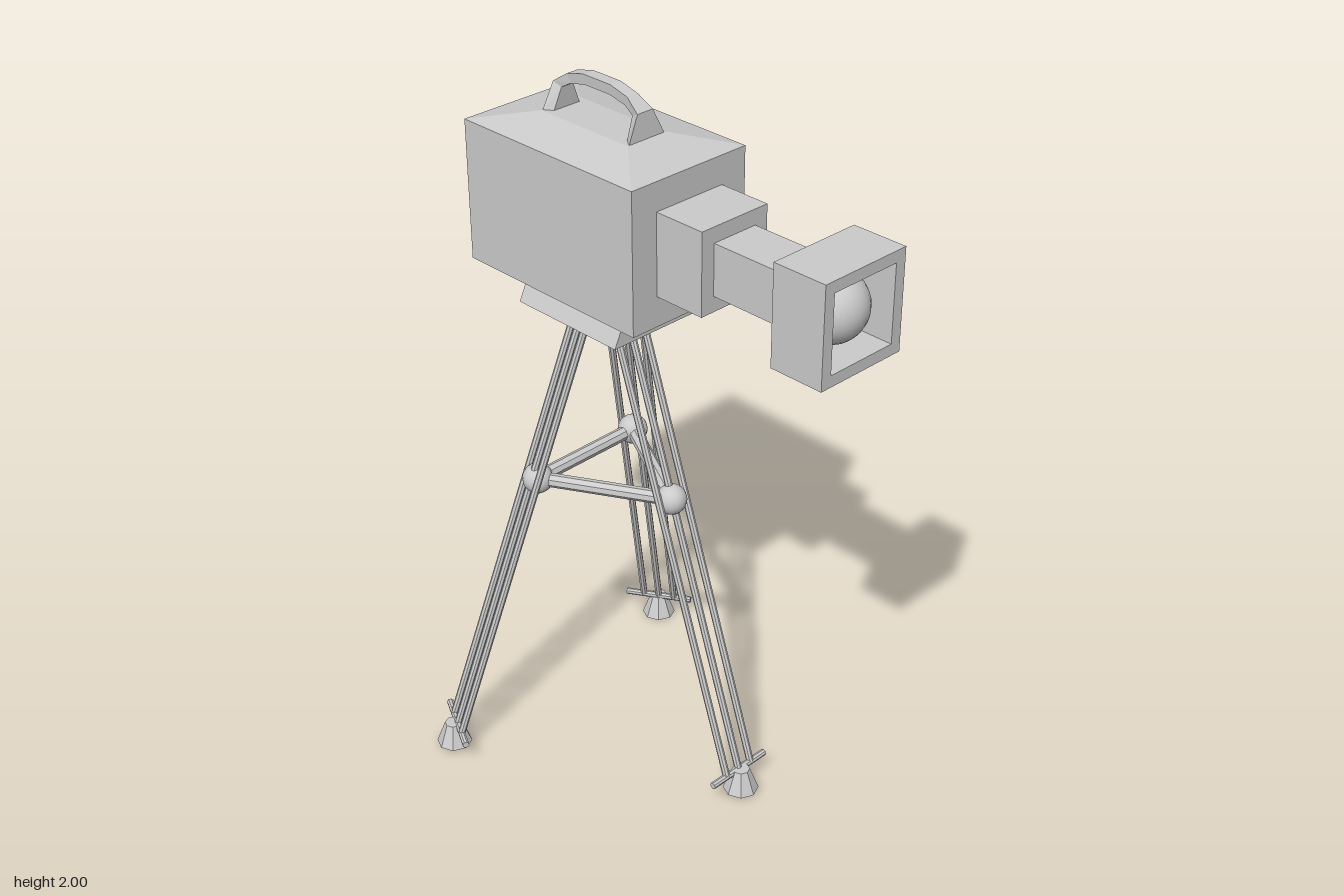
import * as THREE from 'three';

const flat = new THREE.MeshStandardMaterial({ color: 0xcccccc, flatShading: true });
const smooth = new THREE.MeshStandardMaterial({ color: 0xcccccc });
const V = (x, y, z) => new THREE.Vector3(x, y, z);
const CX = 0.005; // centre line of the camera

function add(parent, name, geometry, x = 0, y = 0, z = 0, material = flat) {
  const mesh = new THREE.Mesh(geometry, material);
  mesh.name = name;
  mesh.position.set(x, y, z);
  parent.add(mesh);
  return mesh;
}

// Box whose top rectangle differs in size from its bottom one
function taperedBox(w, h, d, topW, topD) {
  const g = new THREE.BoxGeometry(w, h, d);
  const p = g.attributes.position;
  for (let i = 0; i < p.count; i++) {
    if (p.getY(i) > 0) {
      p.setX(i, Math.sign(p.getX(i)) * topW / 2);
      p.setZ(i, Math.sign(p.getZ(i)) * topD / 2);
    }
  }
  g.computeVertexNormals();
  return g;
}

// Straight round bar between two points
function bar(parent, name, a, b, radius, sides = 8) {
  const dir = b.clone().sub(a);
  const mesh = add(parent, name, new THREE.CylinderGeometry(radius, radius, dir.length(), sides));
  mesh.position.copy(a).lerp(b, 0.5);
  mesh.quaternion.setFromUnitVectors(V(0, 1, 0), dir.normalize());
}

function square(ShapeType, w, h) {
  return new ShapeType([[-1, -1], [1, -1], [1, 1], [-1, 1]]
    .map(([x, y]) => new THREE.Vector2(x * w / 2, y * h / 2)));
}

// Arched handle lofted through four-cornered sections
function handleGeometry() {
  // [outer offset, outer y, outer half width, inner offset, inner y, inner half width]
  const half = [
    [0.16, 1.88, 0.062, 0.135, 1.88, 0.045],
    [0.155, 1.955, 0.026, 0.13, 1.943, 0.02],
    [0.11, 1.985, 0.018, 0.1, 1.96, 0.016],
    [0.05, 2.0, 0.018, 0.045, 1.972, 0.016],
  ];
  const mirrored = half.map(([u, y, w, iu, iy, iw]) => [-u, y, w, -iu, iy, iw]).reverse();
  const sections = [...half, ...mirrored];
  const points = [], index = [];
  for (const [u, y, w, iu, iy, iw] of sections) {
    points.push(-w, y, u, w, y, u, iw, iy, iu, -iw, iy, iu);
  }
  for (let s = 0; s < sections.length - 1; s++) {
    for (let k = 0; k < 4; k++) {
      const a = s * 4 + k, b = s * 4 + (k + 1) % 4;
      index.push(a, b, b + 4, a, b + 4, a + 4);
    }
  }
  const g = new THREE.BufferGeometry();
  g.setAttribute('position', new THREE.Float32BufferAttribute(points, 3));
  g.setIndex(index);
  const out = g.toNonIndexed();
  out.computeVertexNormals();
  return out;
}

function createCamera() {
  const camera = new THREE.Group();
  camera.name = 'camera';
  const box = (name, w, h, z0, z1, y) =>
    add(camera, name, new THREE.BoxGeometry(w, h, z1 - z0), CX, y, (z0 + z1) / 2);

  // Body, hipped roof and handle
  box('body', 0.39, 0.395, -0.58, 0.04, 1.6575);
  add(camera, 'roof', taperedBox(0.39, 0.03, 0.62, 0.13, 0.32), CX, 1.87, -0.27);
  add(camera, 'handle', handleGeometry(), CX, 0, -0.27);

  // Mount flaring out sideways below the body
  add(camera, 'mount', taperedBox(0.295, 0.1, 0.37, 0.2, 0.37), CX, 1.41, -0.265);

  // Stepped lens barrel
  box('lensBase', 0.226, 0.23, 0.04, 0.195, 1.66);
  box('lensBarrel', 0.143, 0.143, 0.195, 0.43, 1.66);

  // Hood: tapered back and open square frame
  const back = add(camera, 'hoodBack', taperedBox(0.278, 0.025, 0.278, 0.143, 0.143), CX, 1.658, 0.4375);
  back.rotation.x = -Math.PI / 2;
  const frame = square(THREE.Shape, 0.278, 0.278);
  frame.holes.push(square(THREE.Path, 0.214, 0.214));
  add(camera, 'hood', new THREE.ExtrudeGeometry(frame, { depth: 0.16, bevelEnabled: false }), CX, 1.658, 0.45);
  add(camera, 'lens', new THREE.SphereGeometry(0.094, 24, 16), CX, 1.658, 0.51, smooth);
  return camera;
}

function createTripod() {
  const tripod = new THREE.Group();
  tripod.name = 'tripod';
  // Each leg: top, bottom, foot centre, foot base height, crossbar direction, joint
  const legs = [
    { name: 'frontLeg', top: V(CX, 1.37, -0.193), bottom: V(CX, 0.07, 0.245),
      foot: [CX, 0.255], base: 0.01, across: V(1, 0, 0), joint: V(CX, 0.862, -0.025) },
    { name: 'leftLeg', top: V(0.075, 1.37, -0.285), bottom: V(0.425, 0.07, -0.512),
      foot: [0.432, -0.52], base: 0, across: V(0.53, 0, 0.848), joint: V(0.178, 0.865, -0.36) },
    { name: 'rightLeg', top: V(-0.065, 1.37, -0.285), bottom: V(-0.436, 0.073, -0.468),
      foot: [-0.446, -0.476], base: 0.01, across: V(-0.447, 0, 0.894), joint: V(-0.187, 0.865, -0.355) },
  ];
  legs.forEach((leg, i) => {
    const group = new THREE.Group();
    group.name = leg.name;
    tripod.add(group);
    // Three parallel rods held by a crossbar
    for (const k of [-1, 0, 1]) {
      const shift = leg.across.clone().multiplyScalar(k * 0.048);
      bar(group, 'rod', leg.top.clone().add(shift), leg.bottom.clone().add(shift), 0.0105);
    }
    const reach = leg.across.clone().multiplyScalar(0.104);
    bar(group, 'crossbar', leg.bottom.clone().sub(reach), leg.bottom.clone().add(reach), 0.01);
    add(group, 'foot', new THREE.CylinderGeometry(0.025, 0.051, 0.068, 8),
      leg.foot[0], leg.base + 0.034, leg.foot[1]);
    add(group, 'joint', new THREE.SphereGeometry(0.043, 16, 12), leg.joint.x, leg.joint.y, leg.joint.z, smooth);
    // Spreader to the next leg
    bar(tripod, 'spreader', leg.joint, legs[(i + 1) % 3].joint, 0.02);
  });
  return tripod;
}

export function createModel() {
  const model = new THREE.Group();
  model.name = 'cameraOnTripod';
  model.add(createCamera(), createTripod());
  return model;
}
